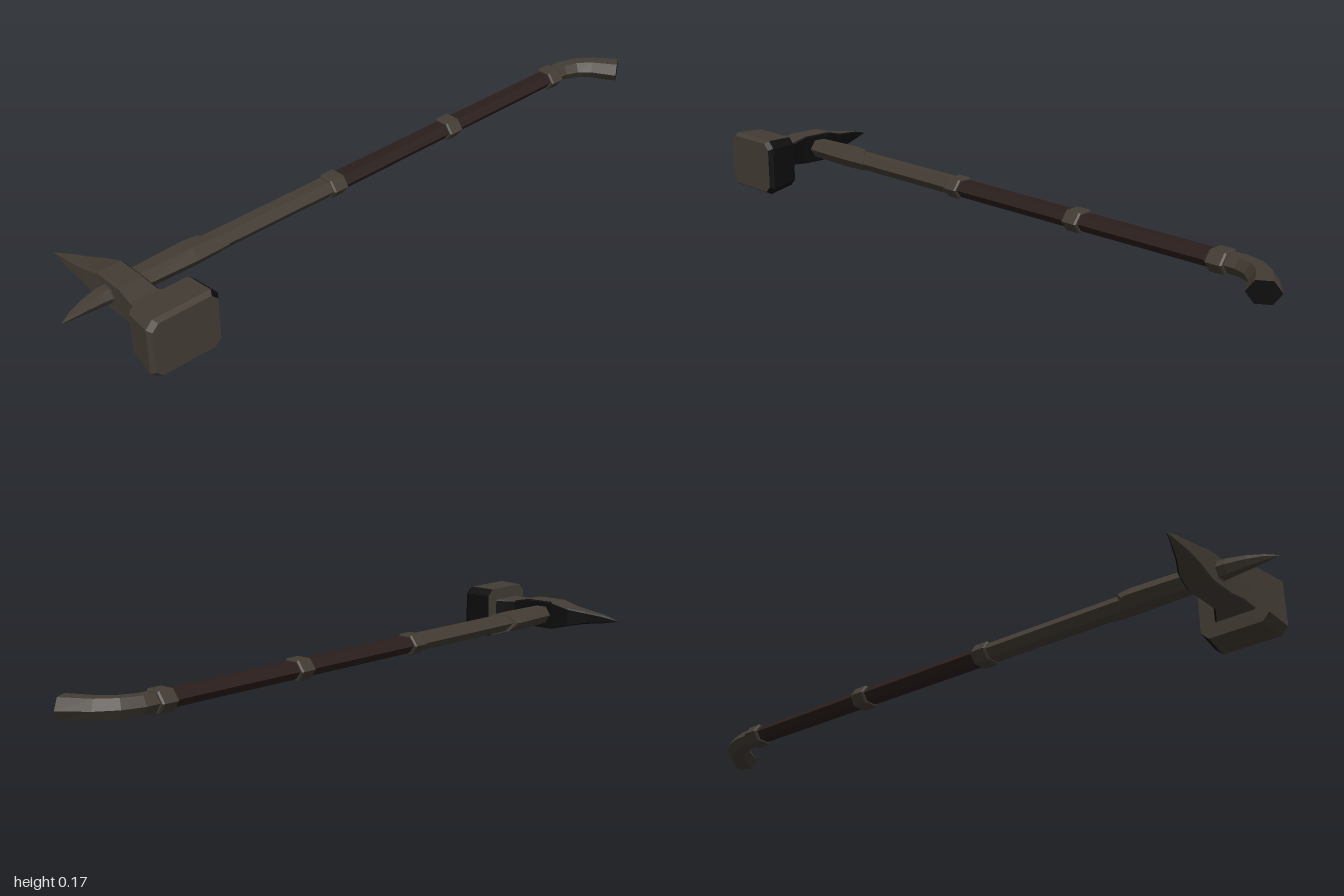
import * as THREE from 'three';

const paint = (name, color) => {
  const m = new THREE.MeshStandardMaterial({ color });
  m.name = name;
  return m;
};
const metal = paint('dark metal', 0x433c34);
const leather = paint('dark leather', 0x2a1e1c);
const black = paint('blackened metal', 0x0c0c0c);
const Y = 0.094; // height of the shaft axis

// Skin a list of equal-length rings, cap both ends, and shade it flat.
// Sides listed in blackSides, and the last cap if blackEnd, are blackened.
function loft(name, rings, material, { blackSides = [], blackEnd = false } = {}) {
  const pos = [], blackPos = [];
  const n = rings[0].length;
  const centre = (r) => r.reduce((s, p) => s.add(p), new THREE.Vector3()).divideScalar(n);
  const first = rings[0], last = rings[rings.length - 1];
  const c0 = centre(first), c1 = centre(last);
  // Orient the rings so the faces point outward
  const normal = first[0].clone().sub(c0).cross(first[1].clone().sub(c0));
  const flip = normal.dot(centre(rings[1]).sub(c0)) < 0;
  const face = (out, a, b, c) => {
    for (const p of flip ? [a, c, b] : [a, b, c]) out.push(p.x, p.y, p.z);
  };
  for (let i = 0; i < n; i++) {
    const j = (i + 1) % n;
    const side = blackSides.includes(i) ? blackPos : pos;
    for (let k = 0; k < rings.length - 1; k++) {
      const a = rings[k], b = rings[k + 1];
      face(side, a[i], a[j], b[j]);
      face(side, a[i], b[j], b[i]);
    }
    face(pos, c0, first[j], first[i]);
    face(blackEnd ? blackPos : pos, c1, last[i], last[j]);
  }
  const g = new THREE.BufferGeometry();
  g.setAttribute('position', new THREE.Float32BufferAttribute([...pos, ...blackPos], 3));
  g.addGroup(0, pos.length / 3, 0);
  g.addGroup(pos.length / 3, blackPos.length / 3, 1);
  g.computeVertexNormals();
  const mesh = new THREE.Mesh(g, blackPos.length ? [material, black] : material);
  mesh.name = name;
  return mesh;
}

// Hexagon across the shaft; angle turns it toward +z, slant shears its end
function hex(x, z, rz, ry, angle = 0, slant = 0) {
  return [[1, 0], [0.5, 1], [-0.5, 1], [-1, 0], [-0.5, -1], [0.5, -1]].map(([u, v]) =>
    new THREE.Vector3(x - Math.sin(angle) * u * rz + slant * u, Y + v * ry, z + Math.cos(angle) * u * rz));
}

// Rectangle with cut corners, lying across z; sides 1 to 3 face +x
function cutRect(z, x0, x1, y0, y1, cut) {
  const c = Math.min(cut, (x1 - x0) * 0.4, (y1 - y0) * 0.4);
  return [[x0 + c, y0], [x1 - c, y0], [x1, y0 + c], [x1, y1 - c],
    [x1 - c, y1], [x0 + c, y1], [x0, y1 - c], [x0, y0 + c]].map(([x, y]) => new THREE.Vector3(x, y, z));
}

export function createModel() {
  const model = new THREE.Group();
  model.name = 'warHammer';

  // Shaft and leather grip
  model.add(loft('shaft', [hex(-0.8, 0, 0.032, 0.023), hex(-0.14, 0, 0.034, 0.023)], metal));
  model.add(loft('grip', [hex(-0.14, 0, 0.034, 0.022), hex(0.78, 0, 0.031, 0.021)], leather));

  // Collars along the grip
  for (const x of [-0.14, 0.31, 0.765]) {
    model.add(loft('collar', [
      hex(x - 0.025, 0, 0.038, 0.025), hex(x - 0.02, 0, 0.042, 0.028),
      hex(x + 0.02, 0, 0.042, 0.028), hex(x + 0.025, 0, 0.038, 0.025),
    ], metal));
  }

  // Socket with a slanted lower edge
  model.add(loft('socket', [
    hex(-0.86, 0, 0.026, 0.024), hex(-0.78, -0.002, 0.035, 0.026),
    hex(-0.62, -0.004, 0.042, 0.028), hex(-0.56, -0.003, 0.039, 0.026, 0, 0.04),
  ], metal));

  // Curved pommel with a blackened end
  model.add(loft('pommel', [
    hex(0.77, 0, 0.03, 0.023), hex(0.825, 0, 0.031, 0.024, 0.12),
    hex(0.873, 0.016, 0.033, 0.025, 0.5), hex(0.915, 0.05, 0.036, 0.026, 0.85),
    hex(0.96, 0.117, 0.042, 0.028, 1),
  ], metal, { blackEnd: true }));

  // Curved spike on the end of the shaft
  model.add(loft('topSpike', [
    hex(-0.82, 0, 0.028, 0.024), hex(-0.88, -0.002, 0.024, 0.021),
    hex(-0.93, 0.003, 0.018, 0.015), hex(-0.97, 0.011, 0.011, 0.008), hex(-1, 0.021, 0.001, 0.001),
  ], metal));

  // Neck running through the head and tapering into the rear beak
  const neck = [
    [0.16, -0.866, -0.748, 0.051, 0.128], [0.13, -0.864, -0.765, 0.053, 0.127],
    [0.1, -0.862, -0.78, 0.057, 0.127], [0.05, -0.858, -0.785, 0.051, 0.137],
    [-0.04, -0.858, -0.785, 0.05, 0.137], [-0.095, -0.861, -0.795, 0.064, 0.121],
    [-0.145, -0.862, -0.819, 0.074, 0.112], [-0.195, -0.861, -0.838, 0.079, 0.104],
    [-0.243, -0.858, -0.856, 0.088, 0.09],
  ];
  model.add(loft('neckAndBeak', neck.map((s) => cutRect(...s, 0.004)), metal, { blackSides: [1, 2, 3] }));

  // Square striking head with bevelled rims, blackened toward the grip
  model.add(loft('strikingHead', [
    cutRect(0.153, -0.9, -0.71, 0.013, 0.164, 0.02),
    cutRect(0.232, -0.909, -0.705, 0, 0.166, 0.02),
    cutRect(0.245, -0.9, -0.714, 0.008, 0.158, 0.018),
  ], metal, { blackSides: [1, 2, 3] }));

  return model;
}
